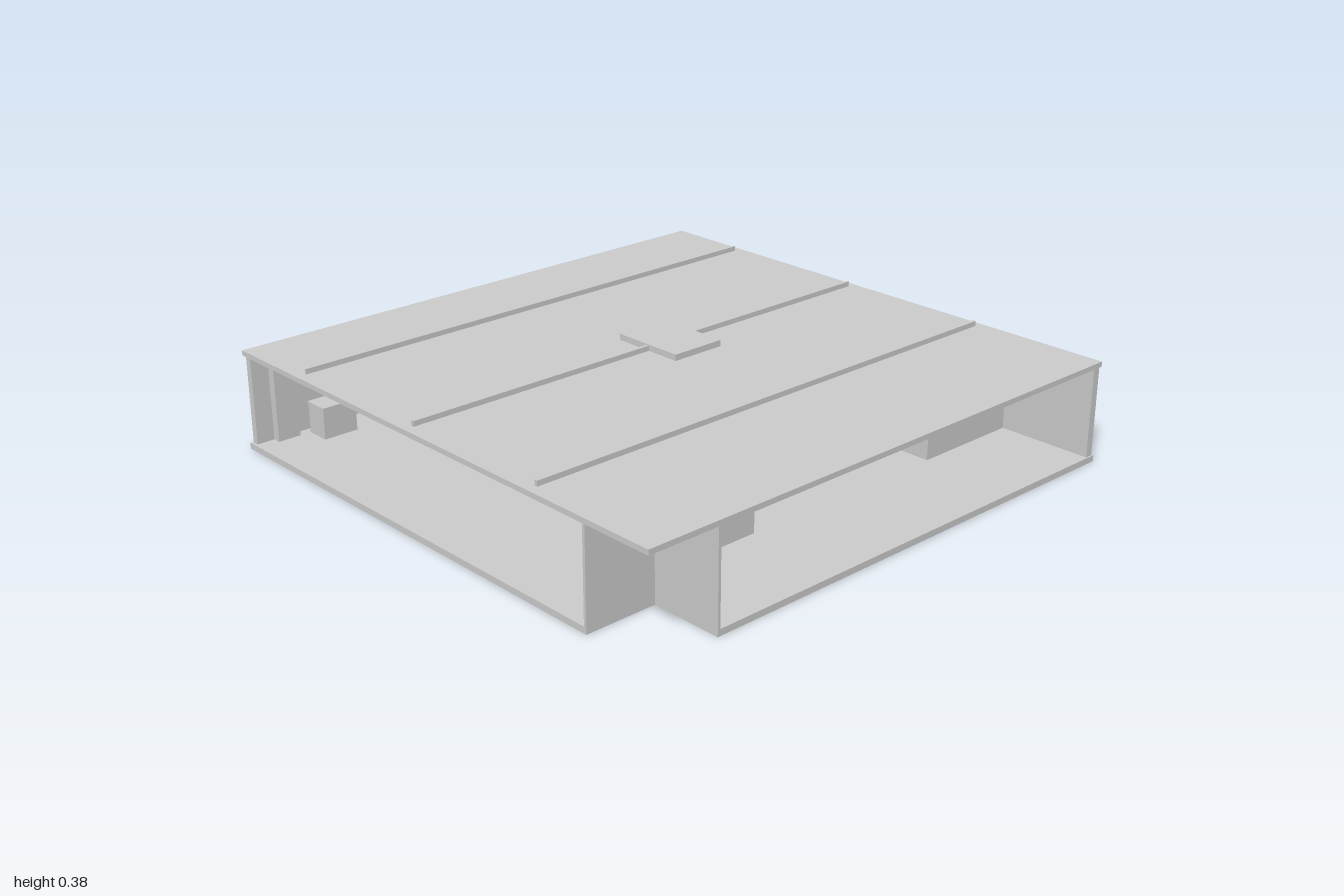
import * as THREE from 'three';

export function createModel() {
  const model = new THREE.Group();
  const plaster = new THREE.MeshStandardMaterial({ color: 0xcccccc });
  plaster.name = 'light grey';

  const add = (name, geometry, parent = model) => {
    const mesh = new THREE.Mesh(geometry, plaster);
    mesh.name = name;
    parent.add(mesh);
    return mesh;
  };
  // Box given by its bounds on each axis
  const box = (name, x0, x1, y0, y1, z0, z1, parent) => {
    const g = new THREE.BoxGeometry(x1 - x0, y1 - y0, z1 - z0);
    g.translate((x0 + x1) / 2, (y0 + y1) / 2, (z0 + z1) / 2);
    return add(name, g, parent);
  };
  const F = 0.022, C = 0.337; // floor top and ceiling

  // Floor slab with a cut corner and a stair opening
  const plan = new THREE.Shape([[-1, -1], [0.745, -1], [0.745, -0.745], [1, -0.745], [1, 1], [-1, 1]]
    .map(([x, y]) => new THREE.Vector2(x, y)));
  plan.holes.push(new THREE.Path([[-0.49, 0.62], [-0.49, 0.91], [0.18, 0.91], [0.18, 0.62]]
    .map(([x, y]) => new THREE.Vector2(x, y))));
  const slab = new THREE.ExtrudeGeometry(plan, { depth: F, bevelEnabled: false });
  slab.rotateX(-Math.PI / 2);
  add('floorSlab', slab);

  // Flat roof with ridge strips and a hatch
  box('roof', -1, 1, C, 0.355, -1, 1);
  for (const [x, w] of [[-0.67, 0.006], [-0.086, 0.012], [0.497, 0.012]])
    box('roofStrip', x - w / 2, x + w / 2, 0.355, 0.373, -0.97, 0.965);
  box('roofHatch', -0.225, 0.05, 0.355, 0.377, -0.19, 0.015);

  // Outer walls on the back and one side
  box('backWall', -0.995, 0.995, F, C, -0.995, -0.967);
  box('sideWall', -0.995, -0.97, F, C, -0.967, 0.99);
  box('wallPilaster', -0.97, -0.94, F, 0.333, 0.84, 0.925);

  // Walls of the cut corner, with a slanted door leaf at its inner end
  box('cornerWallSide', 0.735, 0.745, F, C, 0.735, 1);
  box('cornerWallFront', 0.745, 1, F, C, 0.735, 0.745);
  const leaf = add('slantedDoor', new THREE.BoxGeometry(0.134, 0.31, 0.006));
  leaf.position.set(0.692, F + 0.156, 0.692);
  leaf.rotation.y = -Math.PI / 4;

  // Inner rooms, with openings in the front and side walls
  const rooms = new THREE.Group();
  rooms.name = 'innerRooms';
  model.add(rooms);
  box('roomFrontWall', -0.575, -0.18, F, C, 0.485, 0.495, rooms);
  box('roomFrontWall', 0.09, 0.49, F, C, 0.485, 0.495, rooms);
  box('doorLintel', -0.18, 0.09, 0.275, C, 0.485, 0.495, rooms);
  box('roomSideWall', 0.48, 0.49, F, C, 0.095, 0.485, rooms);
  box('roomSideWall', 0.48, 0.49, F, C, -0.565, -0.175, rooms);
  box('windowLintel', 0.48, 0.49, 0.275, C, -0.175, 0.095, rooms);
  box('roomWestWall', -0.575, -0.562, F, C, -0.565, 0.485, rooms);
  box('roomBackWall', -0.575, 0.65, F, C, -0.572, -0.562, rooms);
  box('corridorEndWall', 0.64, 0.65, F, C, -0.967, -0.572, rooms);
  box('windowLedge', 0.43, 0.48, 0.075, 0.085, -0.145, 0.095, rooms);
  box('windowRail', 0.47, 0.48, 0.265, 0.275, -0.155, 0.095, rooms);

  // Sliding door leaves in the front opening
  box('doorLeaf', -0.18, -0.125, F, 0.275, 0.475, 0.481, rooms);
  box('doorLeaf', -0.095, -0.035, F, 0.275, 0.468, 0.474, rooms);
  box('lowDoor', 0.005, 0.09, 0.03, 0.22, 0.475, 0.485, rooms);
  box('doorKnob', 0.082, 0.09, 0.105, 0.113, 0.485, 0.492, rooms);

  // Cabinets, bench and rails along the walls
  box('cabinet', -0.94, -0.85, F, 0.13, 0.67, 0.8);
  box('cabinetTop', -0.94, -0.845, 0.13, 0.137, 0.667, 0.803);
  box('sideCabinet', 0.54, 0.645, F, 0.125, 0.245, 0.425);
  box('wallBench', -0.97, -0.93, 0.075, 0.085, 0.495, 0.645);
  for (const y of [0.265, 0.305]) {
    box('wallRail', -0.97, -0.96, y, y + 0.006, 0.495, 0.645);
    box('endRail', 0.49, 0.61, y, y + 0.006, -0.562, -0.552);
  }
  return model;
}
